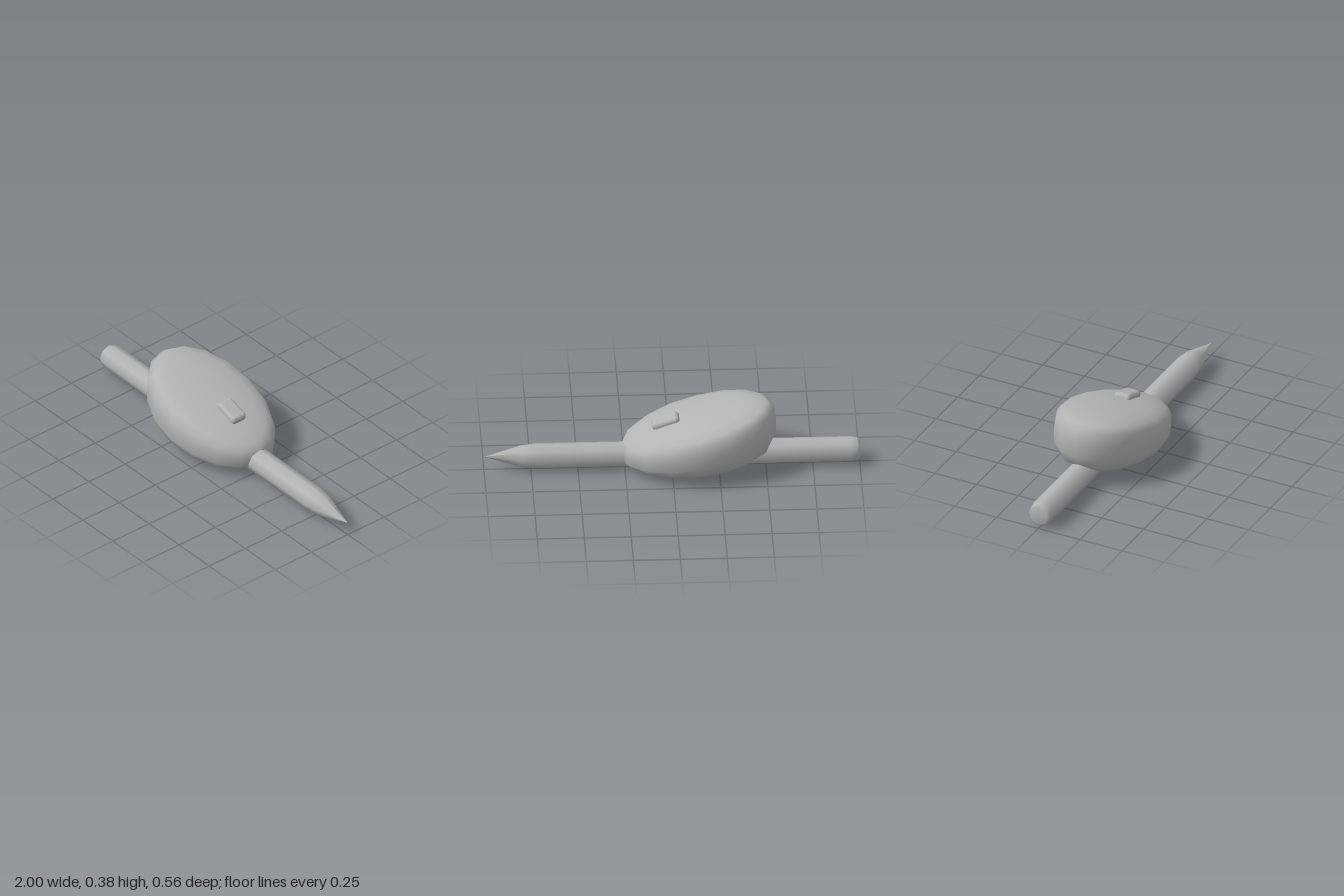
import * as THREE from 'three';
import { RoundedBoxGeometry } from 'three/addons/geometries/RoundedBoxGeometry.js';

// Closed oval shell from stacked, tilted rings: [scale, y at rear, y at front]
function shellGeometry(rings, cx, rx, rz, sides) {
  const pos = [], index = [];
  for (const [s, rear, front] of rings) {
    for (let j = 0; j < sides; j++) {
      const a = (j / sides) * Math.PI * 2;
      const c = Math.cos(a);
      pos.push(cx + rx * s * c, (rear + front) / 2 + ((front - rear) / 2) * c, rz * s * Math.sin(a));
    }
  }
  for (let i = 0; i < rings.length - 1; i++) {
    for (let j = 0; j < sides; j++) {
      const k = (j + 1) % sides;
      const a = i * sides + j, b = i * sides + k;
      index.push(a, a + sides, b, b, a + sides, b + sides);
    }
  }
  // End caps
  const bottom = pos.length / 3, top = bottom + 1, last = (rings.length - 1) * sides;
  pos.push(cx, 0.006, 0, cx, 0.325, 0);
  for (let j = 0; j < sides; j++) {
    const k = (j + 1) % sides;
    index.push(bottom, j, k, top, last + k, last + j);
  }
  const g = new THREE.BufferGeometry();
  g.setAttribute('position', new THREE.Float32BufferAttribute(pos, 3));
  g.setIndex(index);
  g.computeVertexNormals();
  return g;
}

export function createModel() {
  const model = new THREE.Group();
  model.name = 'pencilWithHolder';
  const grey = new THREE.MeshStandardMaterial({ color: 0xb4b4b4 });
  grey.name = 'grey';

  const add = (name, geometry) => {
    const mesh = new THREE.Mesh(geometry, grey);
    mesh.name = name;
    model.add(mesh);
    return mesh;
  };

  // Eight-sided shaft with a rounded butt and a sharpened point
  const profile = [[0, -1], [0.052, -1], [0.064, -0.985], [0.069, -0.95], [0.069, 0.72], [0.06, 0.8], [0, 1]];
  const shaft = new THREE.LatheGeometry(profile.map(([r, y]) => new THREE.Vector2(r, y)), 8);
  shaft.rotateZ(-Math.PI / 2);
  add('pencil', shaft).position.y = 0.081;

  // Pebble-like body sloping down toward the point
  const rings = [
    [0.5, 0.042, 0.004], [0.78, 0.082, 0.02], [0.93, 0.13, 0.045], [1, 0.2, 0.07],
    [1, 0.29, 0.125], [0.97, 0.357, 0.157], [0.88, 0.385, 0.19], [0.7, 0.387, 0.228], [0.4, 0.367, 0.277],
  ];
  add('body', shellGeometry(rings, -0.14, 0.415, 0.282, 16));

  // Small button set in the sloping top
  const button = add('button', new RoundedBoxGeometry(0.15, 0.068, 0.096, 3, 0.022));
  button.position.set(0.03, 0.268, 0);
  button.rotation.z = -0.3;

  return model;
}
